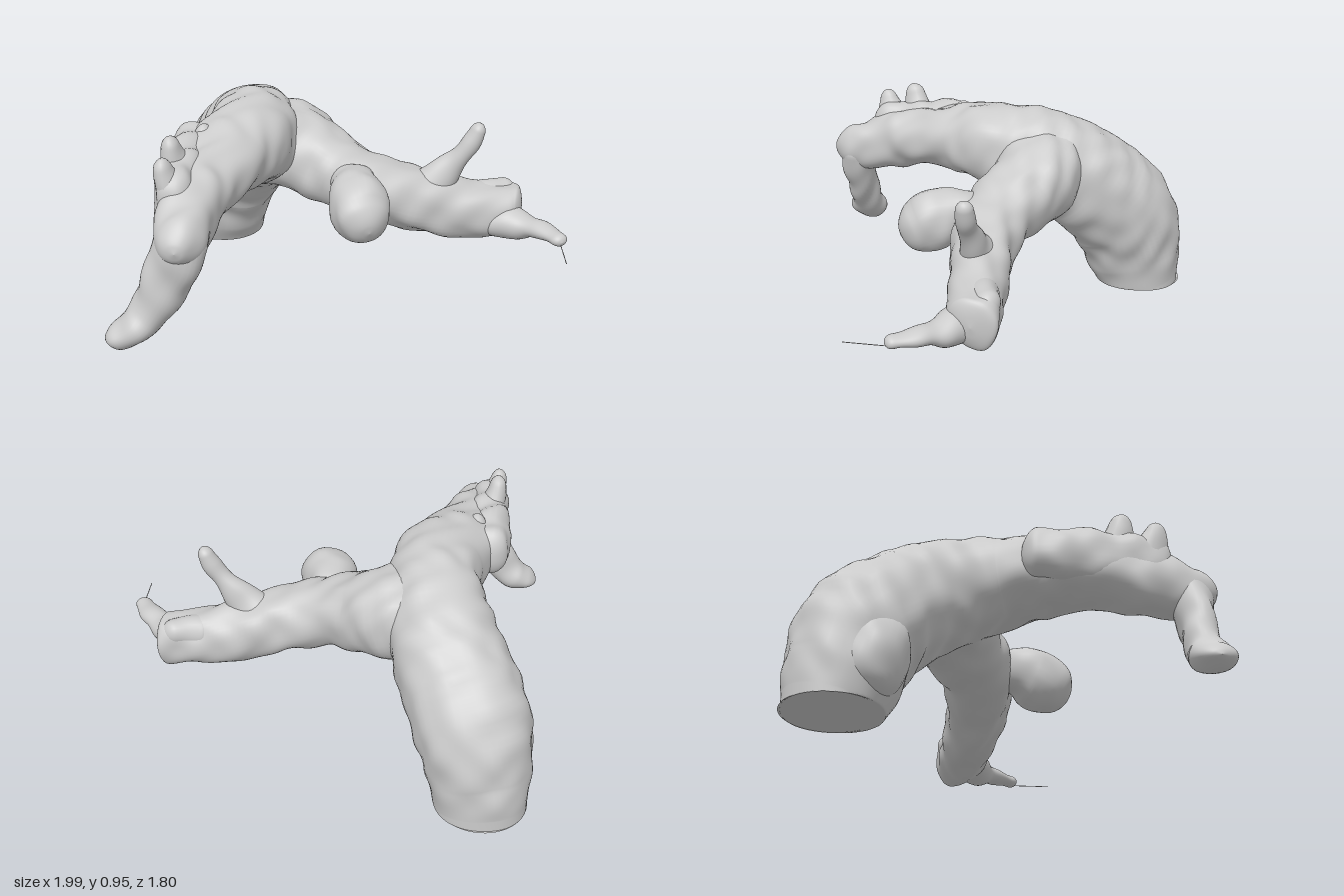
import * as THREE from 'three';

const material = new THREE.MeshStandardMaterial({ color: 0xcccccc, side: THREE.DoubleSide });

// Smooth bumps for the weathered bark
const bark = (p) =>
  Math.sin(p.x * 31 + Math.sin(p.z * 17) * 2) * Math.sin(p.y * 27 + p.z * 9) * 0.6 +
  Math.sin(p.z * 38 + p.x * 21 + p.y * 13) * 0.4;

// Rounds a unit circle toward a box as power drops below 1
const squared = (v, power) => Math.sign(v) * Math.abs(v) ** power;

// Sweeps an oval section along stations [x, y, z, halfWidth, halfHeight].
// sideAxis is the direction of the width; a rounded end closes to a dome.
function limb(name, stations, sideAxis, { rough = 0.008, flatStart = false, cap = 0.1, power = 1, rings = 50, sides = 32 } = {}) {
  const path = new THREE.CatmullRomCurve3(
    stations.map((s) => new THREE.Vector3(s[0], s[1], s[2])), false, 'catmullrom', 0.5);
  const sizes = new THREE.CatmullRomCurve3(
    stations.map((s) => new THREE.Vector3(s[3], s[4], 0)), false, 'catmullrom', 0.5);
  const positions = [], indices = [];
  const dome = (d) => (d >= cap ? 1 : Math.sqrt(Math.max(0, 1 - (1 - d / cap) ** 2)));

  for (let i = 0; i <= rings; i++) {
    // Rings crowd together toward both ends
    const f = i / rings;
    const t = 0.5 * f + 0.5 * (0.5 - 0.5 * Math.cos(Math.PI * f));
    const centre = path.getPoint(t);
    const size = sizes.getPoint(t);
    const tangent = path.getTangent(t);
    const side = sideAxis.clone().addScaledVector(tangent, -sideAxis.dot(tangent)).normalize();
    const up = tangent.clone().cross(side);
    const k = dome(1 - t) * (flatStart ? 1 : dome(t));
    for (let j = 0; j < sides; j++) {
      const a = (j / sides) * Math.PI * 2;
      const dir = side.clone().multiplyScalar(squared(Math.cos(a), power) * size.x)
        .addScaledVector(up, squared(Math.sin(a), power) * size.y);
      const p = centre.clone().addScaledVector(dir, k);
      const fade = k * (flatStart ? Math.min(1, p.y * 5) : 1);
      p.addScaledVector(dir.normalize(), bark(p) * rough * Math.max(0, fade));
      if (flatStart) p.y = i === 0 ? 0 : Math.max(0, p.y);
      positions.push(p.x, p.y, p.z);
      if (i < rings) {
        const n = (j + 1) % sides, r = i * sides, q = r + sides;
        indices.push(r + j, r + n, q + j, r + n, q + n, q + j);
      }
    }
  }
  const geometry = new THREE.BufferGeometry();
  geometry.setAttribute('position', new THREE.Float32BufferAttribute(positions, 3));
  geometry.setIndex(indices);
  geometry.computeVertexNormals();
  const mesh = new THREE.Mesh(geometry, material);
  mesh.name = name;
  return mesh;
}

export function createModel() {
  const group = new THREE.Group();
  group.name = 'fallenBranch';
  const X = new THREE.Vector3(1, 0, 0), Z = new THREE.Vector3(0, 0, 1);

  // Trunk arches up from the ground and runs forward
  group.add(limb('trunk', [
    [-0.68, 0, -0.7, 0.205, 0.2],
    [-0.665, 0.15, -0.665, 0.225, 0.24],
    [-0.615, 0.38, -0.595, 0.255, 0.265],
    [-0.505, 0.58, -0.41, 0.24, 0.25],
    [-0.445, 0.695, -0.2, 0.215, 0.235],
    [-0.455, 0.74, 0.0, 0.205, 0.2],
    [-0.54, 0.74, 0.19, 0.195, 0.165],
    [-0.6, 0.715, 0.38, 0.175, 0.135],
    [-0.645, 0.68, 0.55, 0.14, 0.145],
    [-0.655, 0.63, 0.72, 0.12, 0.125],
    [-0.665, 0.61, 0.9, 0.085, 0.085],
  ], X, { rough: 0.01, flatStart: true, cap: 0.06, power: 0.92, rings: 140, sides: 56 }));

  // Flat sawn end on the ground
  const base = new THREE.Mesh(new THREE.CircleGeometry(0.205, 56), material);
  base.name = 'trunkBase';
  base.rotation.x = Math.PI / 2;
  base.position.set(-0.68, 0.001, -0.7);
  group.add(base);

  // Swelling low on the inner side of the trunk
  group.add(limb('trunkSwelling', [
    [-0.71, 0.03, -0.6, 0.13, 0.13],
    [-0.755, 0.2, -0.55, 0.145, 0.15],
    [-0.7, 0.42, -0.5, 0.12, 0.13],
  ], X, { cap: 0.35 }));

  // Raised ridge along the outer edge of the forward limb
  group.add(limb('ridge', [
    [-0.67, 0.76, 0.06, 0.1, 0.11],
    [-0.685, 0.755, 0.25, 0.1, 0.12],
    [-0.695, 0.745, 0.45, 0.09, 0.125],
    [-0.7, 0.72, 0.7, 0.085, 0.12],
  ], X, { cap: 0.12, power: 0.85, rough: 0.014 }));

  // Drooping tip of the forward limb
  group.add(limb('droopingTip', [
    [-0.64, 0.68, 0.76, 0.1, 0.11],
    [-0.68, 0.53, 0.785, 0.085, 0.11],
    [-0.74, 0.4, 0.785, 0.075, 0.1],
    [-0.81, 0.28, 0.785, 0.075, 0.085],
    [-0.88, 0.215, 0.795, 0.1, 0.07],
    [-0.99, 0.17, 0.8, 0.07, 0.035],
  ], Z, { rough: 0.01 }));

  // Side branch flares out of the trunk and reaches to the left
  group.add(limb('sideBranch', [
    [-0.58, 0.66, -0.25, 0.15, 0.16],
    [-0.42, 0.67, -0.24, 0.2, 0.2],
    [-0.27, 0.64, -0.215, 0.205, 0.2],
    [-0.13, 0.58, -0.14, 0.18, 0.175],
    [0.02, 0.53, -0.07, 0.165, 0.15],
    [0.22, 0.465, -0.05, 0.145, 0.145],
    [0.42, 0.405, -0.07, 0.13, 0.145],
    [0.6, 0.37, -0.085, 0.12, 0.13],
    [0.74, 0.365, -0.115, 0.11, 0.12],
    [0.82, 0.36, -0.11, 0.09, 0.11],
  ], Z, { rough: 0.012, cap: 0.06, power: 0.88, rings: 90, sides: 44 }));

  // Tapered end of the side branch and the hair-thin fibre beyond it
  group.add(limb('branchTip', [
    [0.66, 0.34, -0.08, 0.1, 0.08],
    [0.77, 0.33, -0.02, 0.085, 0.075],
    [0.86, 0.34, 0.05, 0.06, 0.045],
    [0.93, 0.345, 0.13, 0.05, 0.03],
    [0.97, 0.34, 0.21, 0.035, 0.025],
  ], X, { rough: 0.006 }));
  const fibre = new THREE.Mesh(new THREE.CylinderGeometry(0.002, 0.002, 0.2, 6), material);
  fibre.name = 'fibre';
  fibre.rotation.x = Math.PI / 2;
  fibre.position.set(0.965, 0.325, 0.285);
  group.add(fibre);

  // Upright twig and knob on the side branch
  group.add(limb('twig', [
    [0.34, 0.46, -0.06, 0.1, 0.11],
    [0.44, 0.57, -0.05, 0.06, 0.075],
    [0.52, 0.67, -0.045, 0.045, 0.045],
    [0.57, 0.74, -0.04, 0.045, 0.042],
    [0.605, 0.82, -0.04, 0.035, 0.03],
  ], Z, { rough: 0.005 }));
  group.add(limb('branchKnob', [
    [0.58, 0.41, -0.11, 0.08, 0.08],
    [0.68, 0.43, -0.14, 0.07, 0.07],
    [0.79, 0.43, -0.18, 0.05, 0.06],
  ], Z, { cap: 0.25, rough: 0.006 }));

  // Stub hanging forward from the side branch
  group.add(limb('stub', [
    [0.02, 0.55, -0.02, 0.1, 0.1],
    [0.025, 0.55, 0.1, 0.105, 0.11],
    [0.045, 0.53, 0.19, 0.13, 0.14],
    [0.065, 0.49, 0.27, 0.125, 0.13],
    [0.1, 0.45, 0.365, 0.085, 0.09],
  ], X, { cap: 0.16, power: 0.9 }));

  // Short broken spurs along the ridge
  const spurs = [
    [-0.74, 0.91, 0.64, 0.05], [-0.73, 0.95, 0.5, 0.05], [-0.63, 0.9, 0.22, 0.06],
  ];
  spurs.forEach(([x, y, z, r]) => group.add(limb('spur', [
    [x + 0.04, y - 0.2, z - 0.05, r * 1.5, r * 1.9],
    [x + 0.01, y - 0.09, z - 0.02, r, r * 1.3],
    [x, y, z, r * 0.5, r * 0.6],
  ], X, { cap: 0.2, rough: 0.006, rings: 20, sides: 16 })));

  return group;
}
